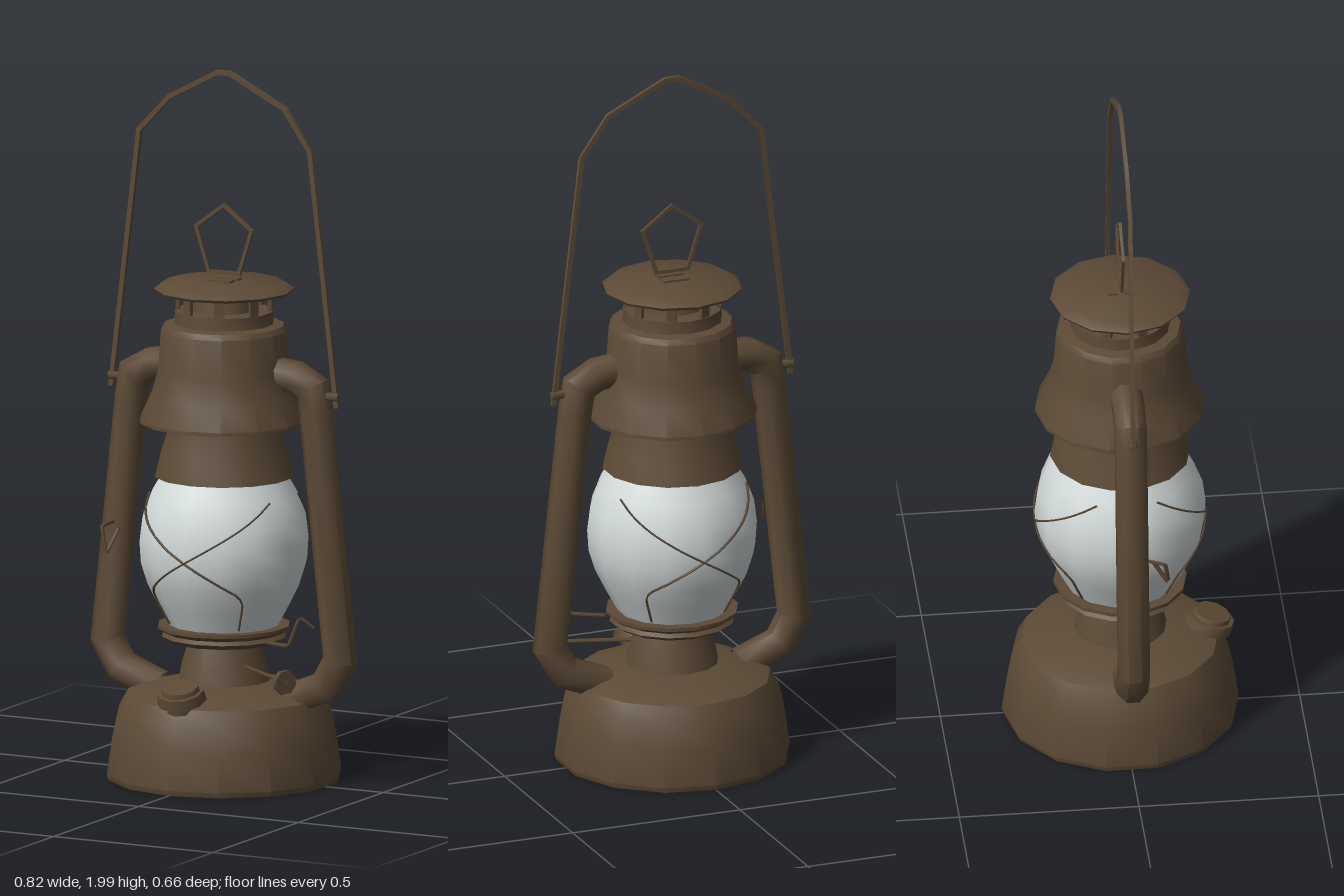
import * as THREE from 'three';
import { toCreasedNormals } from 'three/addons/utils/BufferGeometryUtils.js';

const metal = new THREE.MeshStandardMaterial({ color: 0x5c4a36, side: THREE.DoubleSide });
metal.name = 'aged brown metal';
const glass = new THREE.MeshStandardMaterial({ color: 0xd3dada, side: THREE.DoubleSide });
glass.name = 'pale glass';

// Sweep an oval section (a in the plane, b in depth) along an angular XY path with mitred corners
function sweep(path, a, b, sides, closed = false) {
  const pts = path.map(([x, y]) => new THREE.Vector2(x, y));
  const n = pts.length, pos = [], index = [];
  for (let i = 0; i < n; i++) {
    const prev = pts[closed ? (i + n - 1) % n : Math.max(i - 1, 0)];
    const next = pts[closed ? (i + 1) % n : Math.min(i + 1, n - 1)];
    const d1 = pts[i].clone().sub(prev).normalize(), d2 = next.clone().sub(pts[i]).normalize();
    const t = d1.clone().add(d2).normalize();
    const along = d1.lengthSq() ? d1 : d2;
    const mitre = 1 / Math.max(0.5, t.dot(along));
    for (let j = 0; j < sides; j++) {
      const u = (j + 0.5) / sides * Math.PI * 2, r = a * Math.cos(u) * mitre;
      pos.push(pts[i].x - t.y * r, pts[i].y + t.x * r, b * Math.sin(u));
    }
  }
  const rings = closed ? n : n - 1;
  for (let i = 0; i < rings; i++) for (let j = 0; j < sides; j++) {
    const k = (j + 1) % sides, m = (i + 1) % n;
    const p = i * sides + j, q = i * sides + k, r = m * sides + j, s = m * sides + k;
    index.push(p, q, r, q, s, r);
  }
  const g = new THREE.BufferGeometry();
  g.setAttribute('position', new THREE.Float32BufferAttribute(pos, 3));
  g.setIndex(index);
  return toCreasedNormals(g, 0.9);
}

function lathe(profile, segments) {
  return toCreasedNormals(new THREE.LatheGeometry(profile.map(([r, y]) => new THREE.Vector2(r, y)), segments), 0.6);
}

export function createModel() {
  const model = new THREE.Group();
  model.name = 'lantern';
  const add = (name, geometry, material = metal) => {
    const mesh = new THREE.Mesh(geometry, material);
    mesh.name = name;
    model.add(mesh);
    return mesh;
  };

  // Fuel tank, burner and globe
  add('fuelTank', lathe([[0, 0.01], [0.325, 0.01], [0.33, 0.025], [0.315, 0.13], [0.3, 0.2], [0.275, 0.245],
    [0.235, 0.262], [0.13, 0.285], [0, 0.29]], 14));
  add('burner', lathe([[0.132, 0.27], [0.12, 0.33], [0.1, 0.395], [0.15, 0.395], [0.175, 0.41], [0.165, 0.42],
    [0.185, 0.432], [0.185, 0.442], [0, 0.442]], 14));
  const globe = [[0.15, 0.435], [0.185, 0.5], [0.215, 0.56], [0.234, 0.62], [0.238, 0.68], [0.23, 0.745],
    [0.205, 0.81], [0.17, 0.87]];
  add('globe', lathe(globe, 14), glass);

  // Chimney, hood and vented cap
  add('chimney', lathe([[0.14, 0.86], [0.195, 0.86], [0.18, 0.92], [0.155, 1.0], [0.15, 1.05]], 14));
  add('hood', lathe([[0.15, 1.025], [0.237, 1.012], [0.237, 1.022], [0.205, 1.09], [0.186, 1.16], [0.178, 1.27],
    [0.168, 1.285], [0.14, 1.29], [0.138, 1.325], [0, 1.33]], 14));
  add('ventCore', lathe([[0.09, 1.32], [0.08, 1.39]], 12));
  for (let i = 0; i < 8; i++) {
    const u = (i + 0.5) / 8 * Math.PI * 2;
    const strut = add('ventStrut', new THREE.BoxGeometry(0.028, 0.06, 0.01));
    strut.position.set(Math.sin(u) * 0.128, 1.352, Math.cos(u) * 0.128);
    strut.rotation.y = u;
  }
  add('cap', lathe([[0, 1.365], [0.14, 1.375], [0.19, 1.378], [0.195, 1.386], [0.17, 1.402], [0, 1.41]], 12));

  // Side air tubes
  const tube = [[0.13, 1.165], [0.225, 1.155], [0.278, 1.125], [0.289, 1.06], [0.365, 0.37], [0.322, 0.292],
    [0.2, 0.245]];
  for (const s of [-1, 1]) {
    add(s > 0 ? 'leftAirTube' : 'rightAirTube', sweep(tube.map(([x, y]) => [s * x, y]), 0.047, 0.047, 8));
    // Small lug where the handle hooks on
    const lug = add('handleLug', new THREE.CylinderGeometry(0.012, 0.012, 0.09, 6));
    lug.rotation.z = Math.PI / 2;
    lug.position.set(s * 0.315, 1.11, 0);
  }

  // Carrying handle and lifting ring
  add('handleWires', sweep([[-0.354, 1.08], [-0.266, 1.81], [-0.17, 1.912], [-0.02, 1.992], [0.02, 1.992],
    [0.19, 1.908], [0.27, 1.795], [0.354, 1.08]], 0.01, 0.008, 4));
  add('liftingRing', sweep([[-0.047, 1.43], [0.047, 1.43], [0.087, 1.555], [0, 1.62], [-0.087, 1.555]],
    0.007, 0.006, 4, true));
  for (const s of [-1, 1]) {
    const clip = add('ringClip', new THREE.BoxGeometry(0.075, 0.012, 0.028));
    clip.position.set(0, 1.408, s * 0.022);
  }

  // Filler cap on the front shoulder of the tank
  const filler = new THREE.Group();
  filler.name = 'fillerCap';
  for (const [r, h, y] of [[0.05, 0.05, 0], [0.07, 0.03, 0.035], [0.055, 0.014, 0.056]]) {
    const part = new THREE.Mesh(toCreasedNormals(new THREE.CylinderGeometry(r * 0.94, r, h, 10), 0.7), metal);
    part.name = 'fillerCapTier';
    part.position.y = y;
    filler.add(part);
  }
  filler.position.set(0, 0.245, 0.24);
  filler.rotation.x = 0.3;
  model.add(filler);

  // Guard wires hugging the globe, crossing at the front and back
  const radiusAt = (y) => {
    const i = Math.max(1, globe.findIndex((p) => p[1] >= y));
    const [r0, y0] = globe[i - 1], [r1, y1] = globe[i];
    return r0 + (r1 - r0) * (y - y0) / (y1 - y0);
  };
  for (const turn of [0, Math.PI]) for (const s of [-1, 1]) {
    const points = [];
    for (let i = 0; i <= 14; i++) {
      const k = i / 14, y = 0.81 - 0.36 * k, u = turn + s * (-1.15 + 1.9 * Math.min(1, k * 1.35));
      const r = radiusAt(y) + 0.001;
      points.push(new THREE.Vector3(Math.sin(u) * r, y, Math.cos(u) * r));
    }
    add('guardWire', new THREE.TubeGeometry(new THREE.CatmullRomCurve3(points), 28, 0.0035, 4));
  }

  // Wick knob with its shaft, and the globe lifter lever
  const wire = (name, pts, r = 0.006) => add(name, new THREE.TubeGeometry(
    new THREE.CatmullRomCurve3(pts.map((p) => new THREE.Vector3(...p)), false, 'catmullrom', 0.1), 20, r, 4));
  wire('wickShaft', [[0.08, 0.34, 0.05], [0.28, 0.325, 0.155]]);
  const knob = add('wickKnob', new THREE.CylinderGeometry(0.035, 0.035, 0.015, 8));
  knob.position.set(0.27, 0.325, 0.15);
  knob.quaternion.setFromUnitVectors(new THREE.Vector3(0, 1, 0), new THREE.Vector3(0.88, 0, 0.47).normalize());
  wire('lifterLever', [[0.17, 0.415, 0.07], [0.26, 0.42, 0.11], [0.29, 0.5, 0.1], [0.325, 0.47, 0.08]]);
  wire('tubeHook', [[-0.32, 0.71, 0.03], [-0.335, 0.7, 0.09], [-0.315, 0.63, 0.1], [-0.3, 0.69, 0.06]]);
  return model;
}
